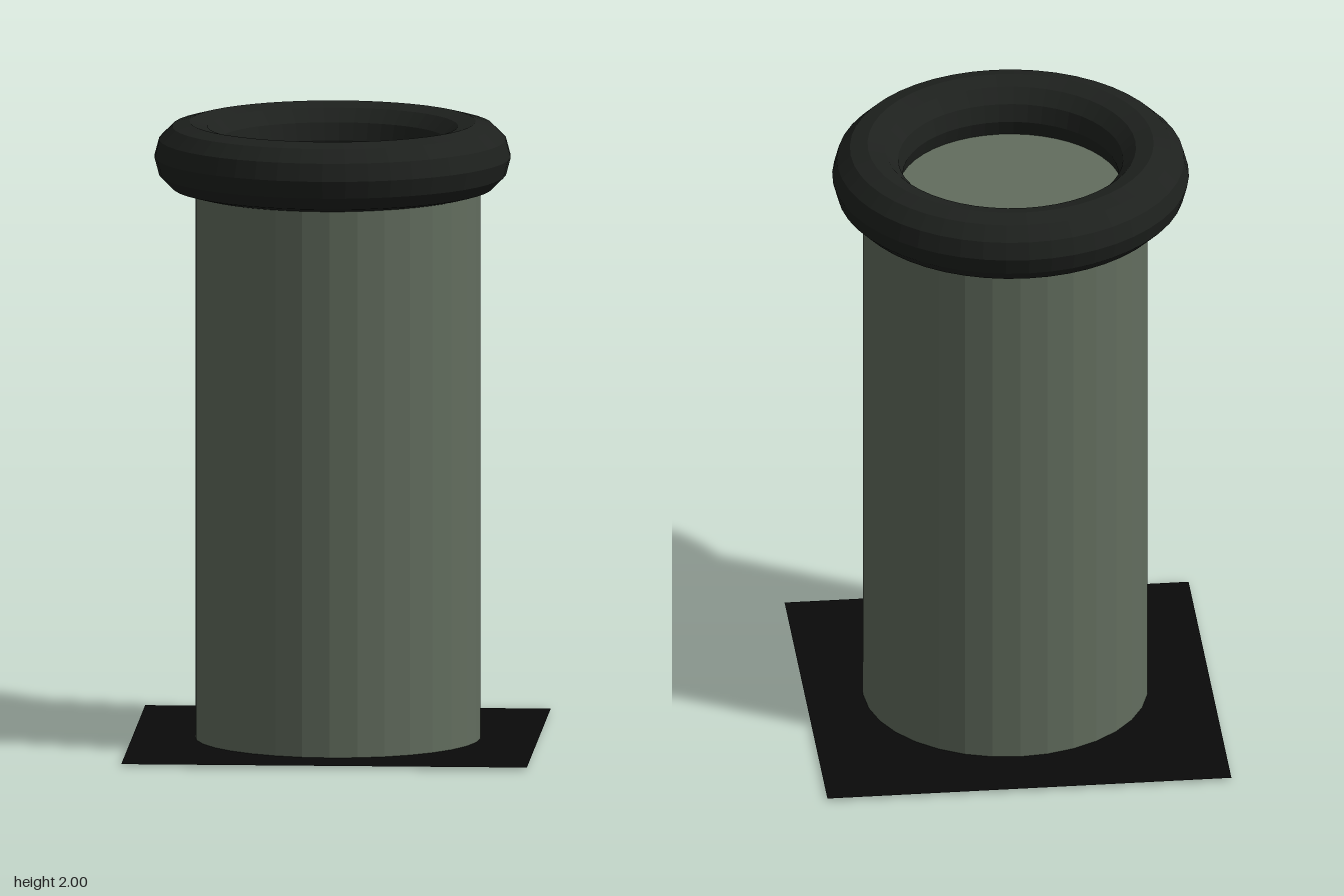
import * as THREE from 'three';

const material = (color, side = THREE.FrontSide) =>
  new THREE.MeshStandardMaterial({ color, flatShading: true, side });

function addPart(group, name, geometry, mat, x, y, z) {
  const mesh = new THREE.Mesh(geometry, mat);
  mesh.name = name;
  mesh.position.set(x, y, z);
  group.add(mesh);
  return mesh;
}

export function createModel() {
  const group = new THREE.Group();
  group.name = 'ringToppedColumn';

  // Thin square ground sheet, just above the foot of the column
  const sheet = new THREE.PlaneGeometry(1.3, 1.3).rotateX(-Math.PI / 2);
  addPart(group, 'basePlate', sheet, material(0x0a0a0a, THREE.DoubleSide), 0, 0.008, 0);

  // Closed 32-sided column, its top sitting inside the ring
  const height = 1.835;
  const column = new THREE.CylinderGeometry(0.457, 0.457, height, 32);
  addPart(group, 'column', column, material(0x626d5e), 0.007, height / 2, 0.017);

  // Faceted rim ring
  const ring = new THREE.TorusGeometry(0.458, 0.113, 12, 48).rotateX(Math.PI / 2);
  addPart(group, 'rimRing', ring, material(0x1e211e), -0.01, 1.887, 0.016);

  return group;
}
